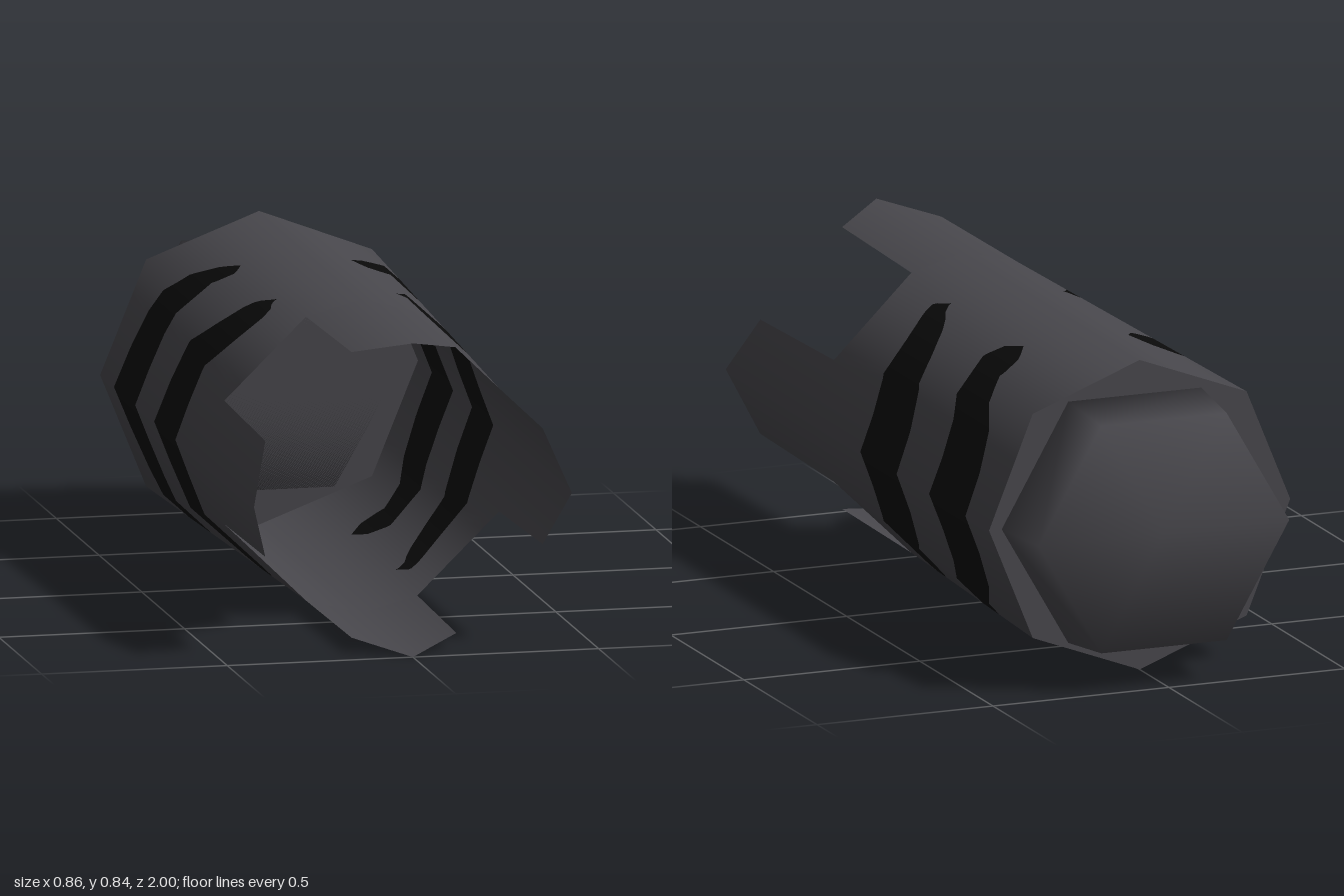
import * as THREE from 'three';
import { mergeVertices } from 'three/addons/utils/BufferGeometryUtils.js';

const BACK = -0.8, FRONT = 0.4, STEPS = 20;
const lerp = THREE.MathUtils.lerp;

// Mirror a quarter outline (top, prong edge, prong edge, side) into a ring of 12
function ring([t, a, b, s]) {
  const half = [t, a, b, s, [b[0], -b[1]], [a[0], -a[1]], [t[0], -t[1]]];
  return [...half, ...half.slice(1, 6).reverse().map(([x, y]) => [-x, y])];
}
const frontRing = ring([[0, 0.42], [0.15, 0.38], [0.37, 0.165], [0.428, 0]]);
const backRing = ring([[0, 0.42], [0.304, 0.304], [0.304, 0.304], [0.428, 0]]);

// Point on the tube wall at column u and depth z
function wall(u, z) {
  const i = Math.floor(u) % 12, j = (i + 1) % 12, f = u - Math.floor(u);
  const v = (z - BACK) / (FRONT - BACK);
  const at = (k) => lerp(lerp(backRing[i][k], backRing[j][k], f), lerp(frontRing[i][k], frontRing[j][k], f), v);
  return [at(0), at(1), z];
}

// Crescent outline: height from the axis, front z, back z
const crescent = [[0, 0.08, -0.168], [0.1, 0.08, -0.16], [0.2, 0.095, -0.125], [0.28, 0.135, -0.055],
  [0.33, 0.165, 0.0], [0.35, 0.16, 0.04], [0.362, 0.11, 0.1]];
function slot(u, shift) {
  const y = Math.abs(wall(u, shift)[1]);
  const k = crescent.findIndex((p) => p[0] > y);
  if (k < 1) return [shift + 0.105, shift + 0.105];
  const [p, q] = [crescent[k - 1], crescent[k]], f = (y - p[0]) / (q[0] - p[0]);
  return [shift + lerp(p[2], q[2], f), shift + lerp(p[1], q[1], f)];
}

// Collects quads and gives them rounded normals about the axis
function quadsGeometry(quads) {
  const pos = [], nor = [];
  for (const [a, b, c, d] of quads) {
    for (const p of [a, c, b, b, c, d]) {
      const r = Math.hypot(p[0], p[1]);
      pos.push(...p);
      nor.push(p[0] / r, p[1] / r, 0);
    }
  }
  const g = new THREE.BufferGeometry();
  g.setAttribute('position', new THREE.Float32BufferAttribute(pos, 3));
  g.setAttribute('normal', new THREE.Float32BufferAttribute(nor, 3));
  return g;
}

export function createModel() {
  const metal = new THREE.MeshStandardMaterial({ color: 0x48474c, side: THREE.DoubleSide });
  metal.name = 'dark grey metal';
  const black = new THREE.MeshStandardMaterial({ color: 0x0a0a0a, side: THREE.DoubleSide });
  black.name = 'black';
  const group = new THREE.Group();
  group.name = 'prongedTube';
  const add = (name, geometry, material) => {
    const mesh = new THREE.Mesh(geometry, material);
    mesh.name = name;
    group.add(mesh);
    return mesh;
  };

  // Tube wall, split lengthwise into metal and slot faces
  const metalQuads = [], slotQuads = [];
  const breaks = (u) => [BACK, ...slot(u, -0.47), ...slot(u, 0), FRONT];
  for (let i = 0; i < 12 * STEPS; i++) {
    const u0 = i / STEPS, u1 = (i + 1) / STEPS;
    const z0 = breaks(u0), z1 = breaks(u1);
    for (let k = 0; k < 5; k++) {
      const quad = [wall(u0, z0[k]), wall(u1, z1[k]), wall(u0, z0[k + 1]), wall(u1, z1[k + 1])];
      (k % 2 ? slotQuads : metalQuads).push(quad);
    }
  }
  add('tubeWall', quadsGeometry(metalQuads), metal);
  add('curvedSlots', quadsGeometry(slotQuads), black);

  // Four pointed prongs, two facets each, continuing the front ring
  ['topProng', 'leftProng', 'bottomProng', 'rightProng'].forEach((name, n) => {
    const m = n * 3, mid = frontRing[m];
    const before = frontRing[(m + 11) % 12], after = frontRing[(m + 1) % 12];
    const shoulder = (p) => [lerp(p[0], mid[0], 0.06), lerp(p[1], mid[1], 0.06), 0.895];
    add(name, quadsGeometry([
      [[...before, FRONT], [...mid, FRONT], shoulder(before), [...mid, 1]],
      [[...mid, FRONT], [...after, FRONT], [...mid, 1], shoulder(after)],
    ]), metal);
  });

  // Octagonal plate closing the back of the tube
  const outline = backRing.map(([x, y]) => new THREE.Vector2(x, y)).filter((p, i, all) => !i || !p.equals(all[i - 1]));
  add('backPlate', new THREE.ShapeGeometry(new THREE.Shape(outline)), metal).position.z = BACK;

  // Tapered hexagonal plug with softly shaded edges
  let plug = new THREE.CylinderGeometry(0.378, 0.356, 0.2, 6);
  plug.deleteAttribute('normal');
  plug.deleteAttribute('uv');
  plug = mergeVertices(plug.rotateY(Math.PI / 2).rotateX(Math.PI / 2).rotateZ(0), 1e-4);
  // Turn a corner onto the x axis
  const p = plug.attributes.position;
  const onAxis = [...Array(p.count).keys()].some((i) => Math.abs(p.getY(i)) < 1e-3 && Math.abs(p.getX(i)) > 0.3);
  if (!onAxis) plug.rotateZ(Math.PI / 6);
  plug.computeVertexNormals();
  add('hexPlug', plug, metal).position.set(0.014, 0, -0.9);

  group.position.y = 0.42;
  const model = new THREE.Group();
  model.name = 'muzzleDevice';
  model.add(group);
  return model;
}
